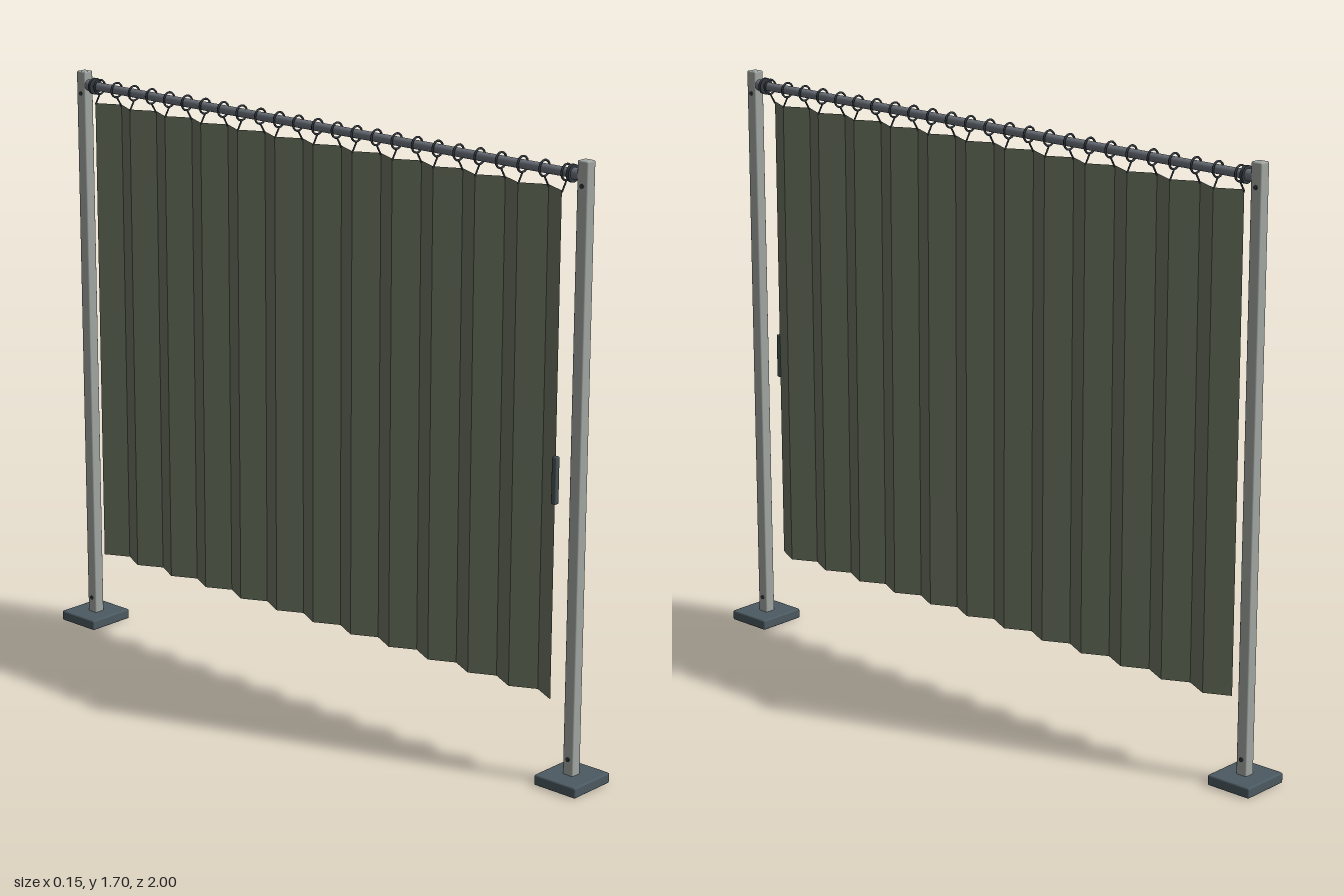
import * as THREE from 'three';
import { RoundedBoxGeometry } from 'three/addons/geometries/RoundedBoxGeometry.js';

const mat = (name, color, side = THREE.FrontSide) => {
  const m = new THREE.MeshStandardMaterial({ color, side });
  m.name = name;
  return m;
};

export function createModel() {
  const root = new THREE.Group();
  root.name = 'curtainScreen';

  const postGrey = mat('post grey', 0xa3a8a4);
  const baseSlate = mat('base slate', 0x4c5a62);
  const railSteel = mat('rail steel', 0x6c727b);
  const darkMetal = mat('dark metal', 0x353b42);
  const cloth = mat('olive cloth', 0x6b7360, THREE.DoubleSide);
  const handleGrey = mat('handle grey', 0x465253);

  const add = (name, geometry, material, x, y, z, parent = root) => {
    const m = new THREE.Mesh(geometry, material);
    m.name = name;
    m.position.set(x, y, z);
    parent.add(m);
    return m;
  };
  const zCylinder = (r, length, sides = 20) =>
    new THREE.CylinderGeometry(r, r, length, sides).rotateX(Math.PI / 2);

  const RAIL_Y = 1.66, TOP = 1.615, BOTTOM = 0.23;
  const HALF = 0.865, PANELS = 24, FOLD = 0.018;

  // Posts with feet, screws and rail sockets
  for (const s of [1, -1]) {
    const stand = new THREE.Group();
    stand.name = s > 0 ? 'frontStand' : 'backStand';
    root.add(stand);
    add('foot', new RoundedBoxGeometry(0.15, 0.03, 0.14, 2, 0.005), baseSlate, 0, 0.015, s * 0.93, stand);
    add('post', new RoundedBoxGeometry(0.033, 1.674, 0.034, 2, 0.004), postGrey, 0, 0.863, s * 0.928, stand);
    for (const y of [0.075, 1.635]) {
      add('screw', new THREE.CylinderGeometry(0.006, 0.006, 0.039, 12).rotateZ(Math.PI / 2),
        darkMetal, 0, y, s * 0.928, stand);
    }
    add('railSocket', zCylinder(0.016, 0.025), railSteel, 0, RAIL_Y, s * 0.9, stand);
    add('railFlange', zCylinder(0.024, 0.009), darkMetal, 0, RAIL_Y, s * 0.885, stand);
  }

  // Horizontal rail
  add('rail', zCylinder(0.0125, 1.82), railSteel, 0, RAIL_Y, 0);

  // Accordion folds, starting on the right at the front edge
  const folds = [];
  for (let i = 0; i <= PANELS; i++) {
    folds.push({ x: i % 2 ? FOLD : -FOLD, z: HALF - (2 * HALF * i) / PANELS });
  }

  // Pleated cloth, each panel a flat face
  const pos = [];
  for (let i = 0; i < PANELS; i++) {
    const a = folds[i], b = folds[i + 1];
    pos.push(a.x, BOTTOM, a.z, b.x, BOTTOM, b.z, b.x, TOP, b.z);
    pos.push(a.x, BOTTOM, a.z, b.x, TOP, b.z, a.x, TOP, a.z);
  }
  const clothGeo = new THREE.BufferGeometry();
  clothGeo.setAttribute('position', new THREE.Float32BufferAttribute(pos, 3));
  clothGeo.computeVertexNormals();
  add('curtain', clothGeo, cloth, 0, 0, 0);

  // A ring and a slanted hook at every fold
  const ringGeo = new THREE.TorusGeometry(0.021, 0.003, 8, 24);
  for (const f of folds) {
    add('ring', ringGeo, darkMetal, 0, RAIL_Y, f.z);
    const path = new THREE.LineCurve3(
      new THREE.Vector3(0, RAIL_Y - 0.021, f.z), new THREE.Vector3(f.x, TOP - 0.005, f.z));
    add('hook', new THREE.TubeGeometry(path, 1, 0.0025, 6), darkMetal, 0, 0, 0);
  }

  // Pull handle on the leading edge
  add('pullHandle', new RoundedBoxGeometry(0.016, 0.13, 0.015, 2, 0.003), handleGrey, -0.023, 0.845, 0.869);

  return root;
}
